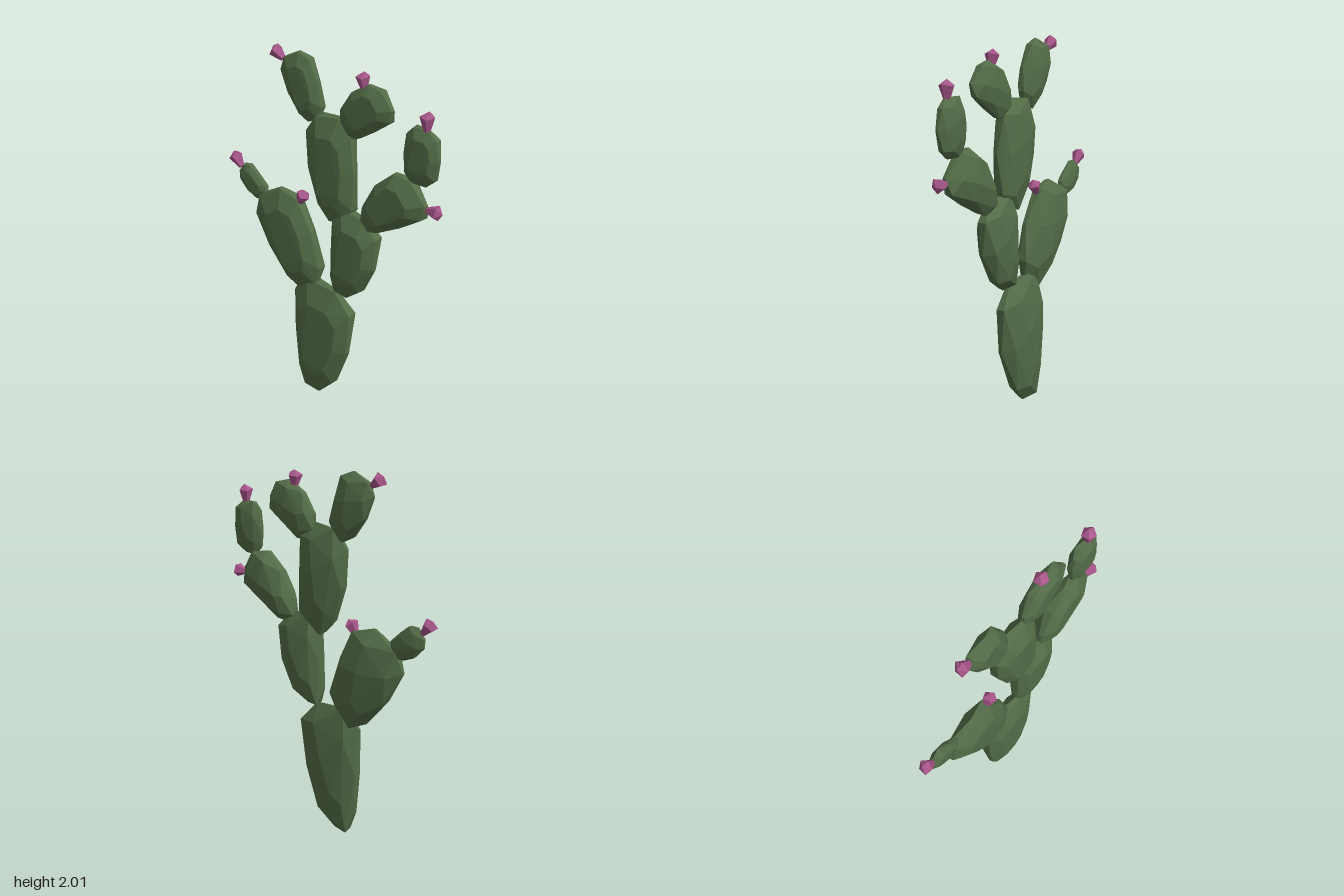
import * as THREE from 'three';
import { ConvexGeometry } from 'three/addons/geometries/ConvexGeometry.js';

// Each pad is an egg in the z-y plane: foot and tip as [z, y], width at the middle,
// taper towards the foot, sideways bend, half thickness
const PADS = [
  { name: 'basePad', foot: [-0.11, 0], tip: [-0.035, 0.73], width: 0.38, taper: 0.33, bend: 0.035, thick: 0.075 },
  { name: 'middlePad', foot: [0.095, 0.705], tip: [0.18, 1.215], width: 0.29, taper: 0.27, bend: 0.04, thick: 0.075 },
  { name: 'upperPad', foot: [0.075, 1.125], tip: [0.01, 1.705], width: 0.31, taper: 0.18, bend: -0.01, thick: 0.072 },
  { name: 'frontPad', foot: [0.245, 1.16], tip: [0.574, 1.437], width: 0.25, taper: 0.37, bend: -0.025, thick: 0.072 },
  { name: 'frontTipPad', foot: [0.56, 1.475], tip: [0.565, 1.765], width: 0.205, taper: 0, bend: 0.01, thick: 0.045 },
  { name: 'topFrontPad', foot: [0.106, 1.642], tip: [0.373, 1.851], width: 0.225, taper: 0.15, bend: -0.025, thick: 0.052 },
  { name: 'topBackPad', foot: [-0.085, 1.65], tip: [-0.228, 1.975], width: 0.222, taper: 0.2, bend: 0, thick: 0.052 },
  { name: 'backPad', foot: [-0.125, 0.67], tip: [-0.4, 1.18], width: 0.365, taper: 0.2, bend: 0.01, thick: 0.075 },
  { name: 'backTipPad', foot: [-0.445, 1.125], tip: [-0.617, 1.262], width: 0.145, taper: 0.1, bend: -0.01, thick: 0.034 },
];

// Flower buds: foot and tip as [z, y]
const BUDS = [
  { foot: [0.615, 1.36], tip: [0.7, 1.36] },
  { foot: [0.594, 1.75], tip: [0.594, 1.85] },
  { foot: [0.228, 1.875], tip: [0.217, 1.965] },
  { foot: [-0.29, 1.935], tip: [-0.365, 1.985] },
  { foot: [-0.2, 1.16], tip: [-0.155, 1.24] },
  { foot: [-0.62, 1.26], tip: [-0.685, 1.335] },
];

const SIDES = 10;
const power = (v) => Math.sign(v) * Math.abs(v) ** 0.75;

// Faceted pad: thin rim, a broad face on the -x side and a ridged face on the +x side
function padGeometry({ foot, tip, width, taper, bend, thick }) {
  const start = new THREE.Vector3(0, foot[1], foot[0]);
  const end = new THREE.Vector3(0, tip[1], tip[0]);
  const middle = start.clone().add(end).multiplyScalar(0.5);
  const half = end.clone().sub(middle);
  const across = new THREE.Vector3(0, -half.z, half.y).normalize();
  const points = [];
  const add = (x, scale, u, v) => {
    const p = middle.clone().addScaledVector(half, u * scale);
    p.addScaledVector(across, v * scale + bend * (1 - u * u * scale * scale));
    points.push(p.setX(x * thick));
  };
  for (let i = 0; i < SIDES; i++) {
    const a = ((i + 0.5) / SIDES) * Math.PI * 2;
    const u = power(Math.cos(a) / Math.cos(Math.PI / SIDES));
    const v = power(Math.sin(a)) * (width / 2) * (1 + taper * u);
    add(i % 2 ? 0.3 : -0.1, 1, u, v);
    add(-0.4, 0.97, u, v);
    if (i % 2 === 0) add(0.72, 0.72, u, v);
    add(i % 3 ? -0.95 : -1, 0.62, u, v);
  }
  add(1, 0.2, 1, width / 4);
  add(0.95, 0.35, -1, -width / 4);
  return new ConvexGeometry(points);
}

// Gem-like bud along +y: narrow foot, five-sided rim, low crown
function budGeometry(length) {
  const points = [new THREE.Vector3(0.006, length, 0.004)];
  for (let i = 0; i < 5; i++) {
    const a = (i / 5) * Math.PI * 2 + 0.3;
    const c = Math.cos(a), s = Math.sin(a);
    points.push(new THREE.Vector3(c * 0.016, 0, s * 0.016));
    points.push(new THREE.Vector3(c * 0.039, length * (0.68 + 0.08 * (i % 2)), s * 0.039));
  }
  return new ConvexGeometry(points);
}

export function createModel() {
  const cactus = new THREE.Group();
  cactus.name = 'cactus';
  const green = new THREE.MeshStandardMaterial({ color: 0x536c47 });
  green.name = 'cactusGreen';
  const pink = new THREE.MeshStandardMaterial({ color: 0xa7568a });
  pink.name = 'flowerPink';

  for (const shape of PADS) {
    const pad = new THREE.Mesh(padGeometry(shape), green);
    pad.name = shape.name;
    cactus.add(pad);
  }

  const up = new THREE.Vector3(0, 1, 0);
  BUDS.forEach(({ foot, tip }, i) => {
    const base = new THREE.Vector3(-0.008, foot[1], foot[0]);
    const axis = new THREE.Vector3(-0.008, tip[1], tip[0]).sub(base);
    const bud = new THREE.Mesh(budGeometry(axis.length()), pink);
    bud.name = 'flowerBud' + (i + 1);
    bud.position.copy(base);
    bud.quaternion.setFromUnitVectors(up, axis.normalize());
    cactus.add(bud);
  });
  return cactus;
}
